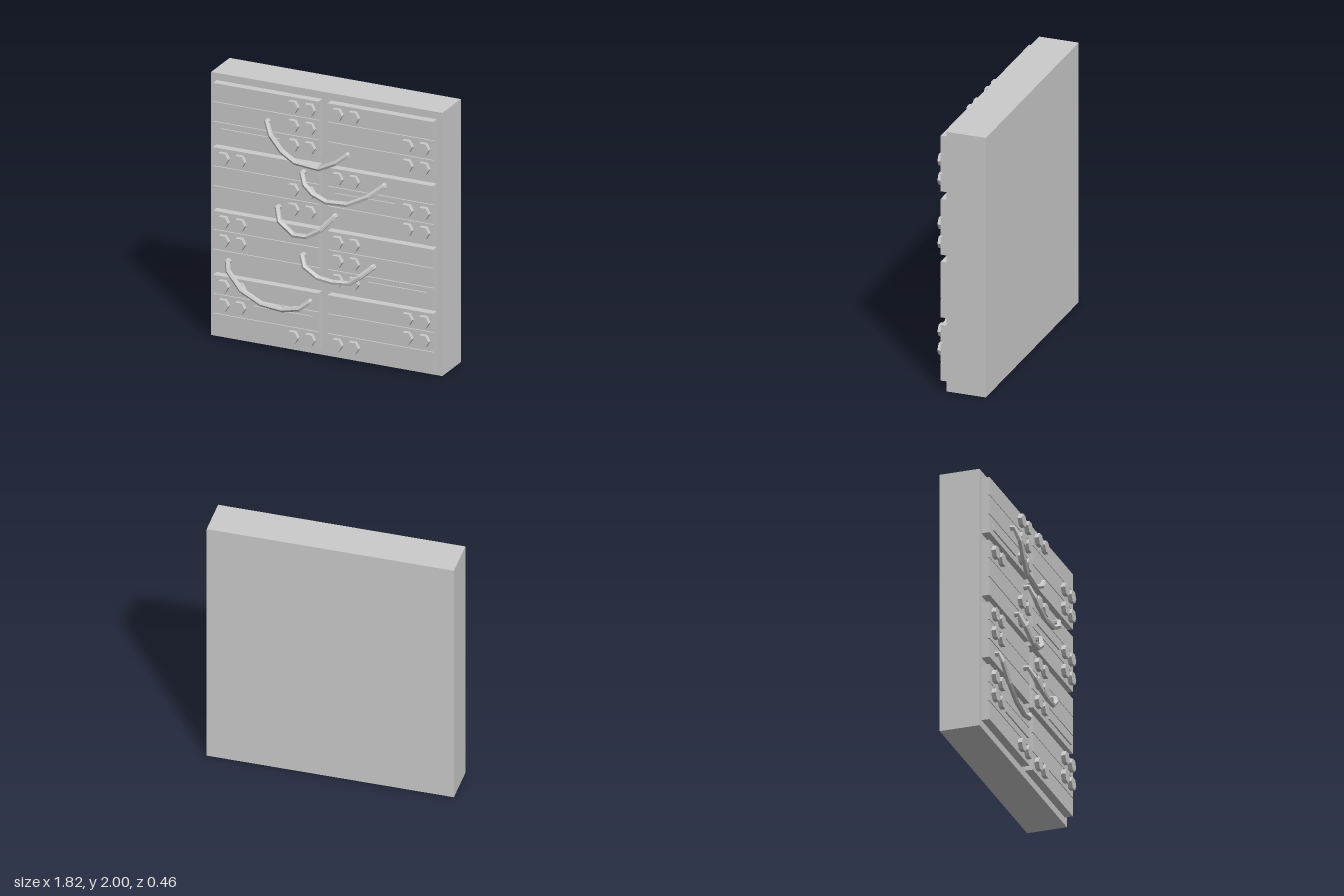
import * as THREE from 'three';

const grey = new THREE.MeshStandardMaterial({ color: 0xcccccc, flatShading: true });

export function createModel() {
  const model = new THREE.Group();

  const add = (geometry, name, x = 0, y = 0, z = 0) => {
    const mesh = new THREE.Mesh(geometry, grey);
    mesh.name = name;
    mesh.position.set(x, y, z);
    model.add(mesh);
  };
  // Box given by its limits
  const box = (name, x0, x1, y0, y1, z0, z1) =>
    add(new THREE.BoxGeometry(x1 - x0, y1 - y0, z1 - z0), name,
      (x0 + x1) / 2, (y0 + y1) / 2, (z0 + z1) / 2);

  // Cabinet body
  box('cabinet', -0.908, 0.908, 0, 2, -0.232, 0.067);

  // Two columns of four modules, each split by shallow grooves into three strips
  const tops = [1.945, 1.457, 0.974, 0.487];
  const strips = [[0, 0.137], [0.143, 0.285], [0.293, 0.43]];
  for (const top of tops) {
    for (const [x0, x1] of [[-0.865, -0.035], [0.035, 0.865]]) {
      box('moduleBase', x0, x1, top - 0.43, top, 0.06, 0.115);
      for (const [a, b] of strips) box('moduleStrip', x0, x1, top - b, top - a, 0.11, 0.127);
    }
  }

  // Hexagonal knob pairs: i = inner, o = outer, - = none, one letter per strip
  const knob = new THREE.CylinderGeometry(0.05, 0.05, 0.05, 6);
  knob.rotateY(Math.PI / 2); // corners point sideways
  knob.rotateX(Math.PI / 2);
  knob.rotateY(0);
  // keep corners on the x axis
  knob.computeBoundingBox();
  if (knob.boundingBox.max.x < 0.049) knob.rotateZ(Math.PI / 6);
  const pairX = {
    left: { i: [-0.233, -0.103], o: [-0.78, -0.65] },
    right: { i: [0.114, 0.243], o: [0.664, 0.796] },
  };
  const layout = {
    left: ['iii', 'oii', 'oo-', 'ooi'],
    right: ['ioo', 'ioo', 'iii', 'ooi'],
  };
  const rowDrop = [0.067, 0.21, 0.358];
  for (const side of ['left', 'right']) {
    layout[side].forEach((code, m) => [...code].forEach((c, r) => {
      for (const x of pairX[side][c] ?? []) add(knob, 'knob', x, tops[m] - rowDrop[r], 0.135);
    }));
  }

  // Raised label bars
  for (const [x, y] of [[-0.8, 1.584], [0.1, 1.249], [0.35, 0.617], [-0.545, 0.28]]) {
    box('labelBar', x, x + 0.465, y - 0.027, y + 0.027, 0.12, 0.138);
  }

  // Hanging patch cables, faceted, with both ends plugged into the panels
  const cables = [
    [[-0.43, 1.735, 0.155], [-0.385, 1.65, 0.185], [-0.3, 1.542, 0.18], [-0.2, 1.472, 0.17],
      [-0.015, 1.453, 0.165], [0.115, 1.517, 0.165], [0.195, 1.583, 0.15]],
    [[-0.148, 1.395, 0.165], [-0.113, 1.325, 0.195], [-0.045, 1.27, 0.205], [0.066, 1.229, 0.21],
      [0.23, 1.239, 0.21], [0.385, 1.316, 0.195], [0.485, 1.4, 0.16]],
    [[-0.344, 1.098, 0.16], [-0.31, 1.013, 0.195], [-0.193, 0.934, 0.21],
      [-0.087, 0.939, 0.21], [0.013, 1.003, 0.2], [0.1, 1.103, 0.16]],
    [[-0.15, 0.765, 0.16], [-0.113, 0.7, 0.195], [-0.003, 0.642, 0.21], [0.114, 0.628, 0.21],
      [0.24, 0.638, 0.205], [0.325, 0.7, 0.195], [0.4, 0.767, 0.16]],
    [[-0.738, 0.617, 0.155], [-0.722, 0.557, 0.175], [-0.616, 0.436, 0.187], [-0.458, 0.357, 0.185],
      [-0.294, 0.338, 0.178], [-0.167, 0.365, 0.172], [-0.1, 0.42, 0.155]],
  ];
  for (const pts of cables) {
    const first = pts[0], last = pts[pts.length - 1];
    const path = [[first[0], first[1], 0.12], ...pts, [last[0], last[1], 0.12]];
    const curve = new THREE.CatmullRomCurve3(path.map((p) => new THREE.Vector3(...p)));
    // Sample exactly at the bends
    curve.getPointAt = curve.getPoint;
    curve.getTangentAt = curve.getTangent;
    add(new THREE.TubeGeometry(curve, path.length - 1, 0.02, 6), 'cable');
  }

  return model;
}
